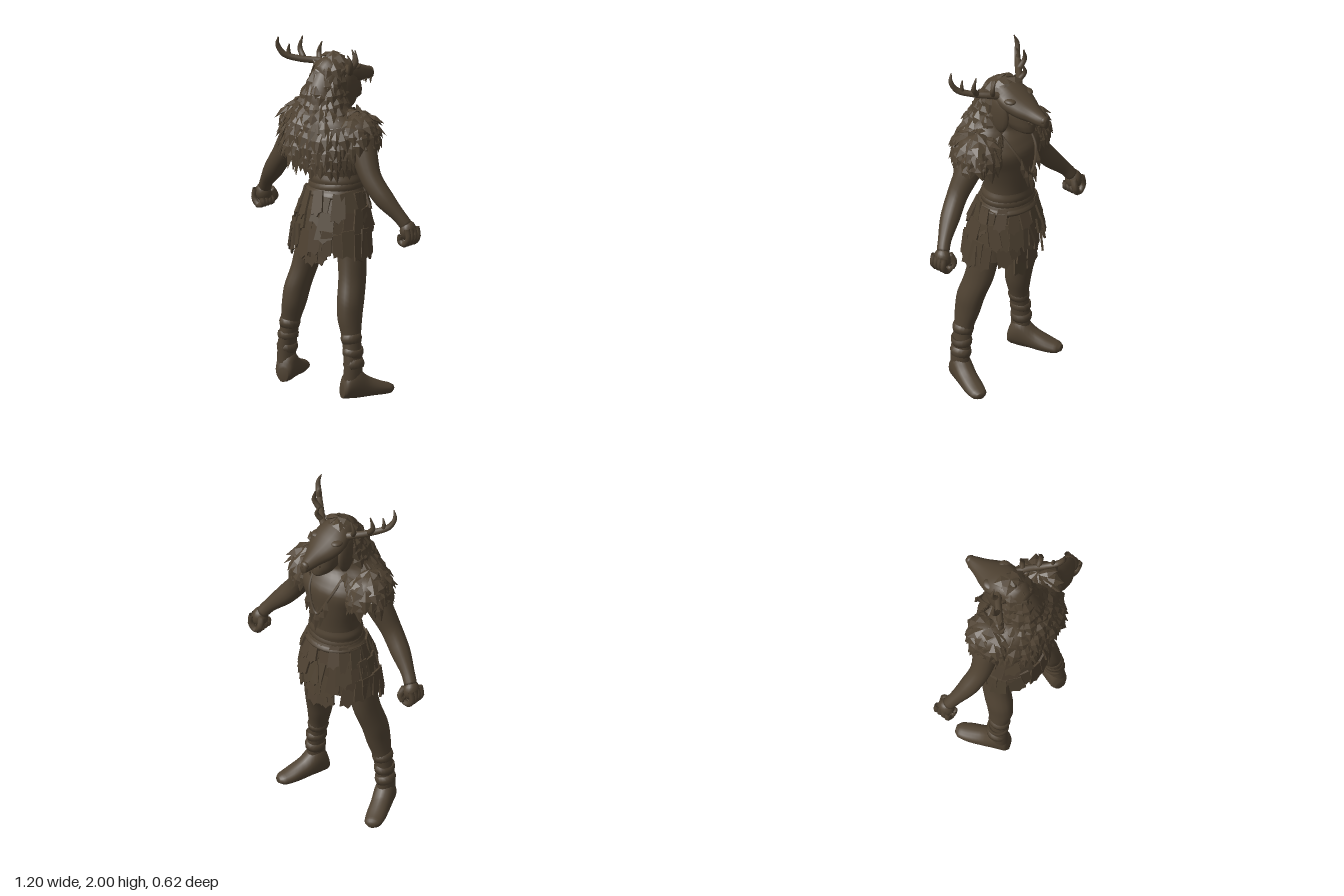
import * as THREE from 'three';
import { mergeGeometries } from 'three/addons/utils/BufferGeometryUtils.js';

let seed = 7;
const rnd = () => (seed = (seed * 16807) % 2147483647) / 2147483647;
const vary = (v, k = 0.3) => v * (1 + (rnd() - 0.5) * 2 * k);
const V = (x, y, z) => new THREE.Vector3(x, y, z);

// Smooth skin through elliptical rings [x, y, z, rx, r2].
// mode 'y': level rings listed upward; 'z': upright rings listed towards -z; 'limb': square to the path
function loft(rings, mode, { sides = 16, steps = 4, capped = true } = {}) {
  const path = new THREE.CatmullRomCurve3(rings.map(r => V(r[0], r[1], r[2])));
  const radii = new THREE.CatmullRomCurve3(rings.map(r => V(r[3], r[4] ?? r[3], 0)));
  const n = (rings.length - 1) * steps, pos = [], idx = [];
  for (let i = 0; i <= n; i++) {
    const c = path.getPoint(i / n), r = radii.getPoint(i / n);
    let A = mode === 'y' ? V(0, 0, 1) : V(0, 1, 0), B = V(1, 0, 0);
    if (mode === 'limb') {
      const T = path.getTangent(i / n);
      A = V(0, 0, 1).cross(T).normalize();
      B = T.clone().cross(A);
    }
    for (let j = 0; j < sides; j++) {
      const a = j / sides * Math.PI * 2;
      const p = c.clone().addScaledVector(A, Math.cos(a) * r.y).addScaledVector(B, Math.sin(a) * r.x);
      pos.push(p.x, p.y, p.z);
      const k = (j + 1) % sides, o = i * sides;
      if (i < n) idx.push(o + j, o + k, o + sides + j, o + k, o + sides + k, o + sides + j);
    }
  }
  if (capped) {
    const m = pos.length / 3, o = n * sides;
    pos.push(...path.getPoint(0).toArray(), ...path.getPoint(1).toArray());
    for (let j = 0; j < sides; j++) {
      const k = (j + 1) % sides;
      idx.push(m, k, j, m + 1, o + j, o + k);
    }
  }
  const g = new THREE.BufferGeometry();
  g.setAttribute('position', new THREE.Float32BufferAttribute(pos, 3));
  g.setIndex(idx);
  g.computeVertexNormals();
  return g;
}

// A ridged, pointed lock of fur hanging from its root
const lock = (w, len) => new THREE.OctahedronGeometry(1).scale(w, len * 0.6, w * 0.4).translate(0, -len * 0.4, 0);

// A strip of hide with a ragged lower end
function rag(w, len) {
  const s = new THREE.Shape([[-w * 0.8, 0], [w * 0.8, 0], [w, -len * 0.8], [w * 0.45, -len * 0.86],
    [w * 0.1, -len], [-w * 0.5, -len * 0.88], [-w, -len * 0.92]].map(p => new THREE.Vector2(...p)));
  return new THREE.ExtrudeGeometry(s, { depth: 0.012, bevelEnabled: false });
}

// Hangs pieces around an ellipse; angle 0 is the +z side
function fringe(make, { x = 0, y, z, rx, rz, n, w, len, tilt, from = -Math.PI, to = Math.PI }) {
  const out = [];
  for (let i = 0; i < n; i++) {
    const a = from + (to - from) * (i + 0.5 + (rnd() - 0.5) * 0.5) / n;
    const m = new THREE.Matrix4().makeRotationFromEuler(
      new THREE.Euler(-vary(tilt, 0.4), a, (rnd() - 0.5) * 0.4, 'YXZ'));
    m.setPosition(x + rx * Math.sin(a), y + (rnd() - 0.5) * 0.03, z + rz * Math.cos(a));
    out.push(make(vary(w, 0.25), vary(len, 0.2)).applyMatrix4(m));
  }
  return out;
}

export function createModel() {
  const root = new THREE.Group();
  const brown = new THREE.MeshStandardMaterial({ color: 0x4f4232, side: THREE.DoubleSide });
  brown.name = 'dark brown';
  const add = (parent, name, geo) => {
    const m = new THREE.Mesh(geo, brown);
    m.name = name;
    parent.add(m);
  };
  const ball = (x, y, z, a, b, c) => new THREE.SphereGeometry(1, 16, 12).scale(a, b, c).translate(x, y, z);

  // Body and face
  add(root, 'torso', loft([[0, 0.98, -0.01, 0.17, 0.13], [0, 1.12, -0.025, 0.15, 0.125], [0, 1.25, -0.03, 0.145, 0.13],
    [0, 1.4, -0.022, 0.18, 0.15], [0, 1.5, -0.015, 0.22, 0.155], [0, 1.57, -0.005, 0.18, 0.125],
    [0, 1.63, -0.01, 0.08, 0.075], [0, 1.74, -0.04, 0.068, 0.068]], 'y', { sides: 24 }));
  add(root, 'face', loft([[0, 1.632, -0.14, 0.03, 0.06], [0, 1.65, -0.125, 0.055, 0.09], [0, 1.69, -0.11, 0.072, 0.1],
    [0, 1.74, -0.095, 0.078, 0.098], [0, 1.81, -0.08, 0.07, 0.08]], 'y'));
  add(root, 'humanNose', new THREE.ConeGeometry(0.016, 0.05, 4).translate(0, 1.72, -0.2));

  // Beast-head hood
  add(root, 'beastHead', loft([[0, 1.8, 0.12, 0.05, 0.06], [0, 1.82, 0.06, 0.085, 0.085], [0, 1.822, -0.02, 0.1, 0.083],
    [0, 1.808, -0.09, 0.108, 0.068], [0, 1.782, -0.16, 0.087, 0.058], [0, 1.766, -0.22, 0.058, 0.046],
    [0, 1.75, -0.28, 0.036, 0.037], [0, 1.742, -0.315, 0.018, 0.03]], 'z', { sides: 18 }));
  add(root, 'beastNose', ball(0, 1.758, -0.296, 0.028, 0.024, 0.02));
  for (const s of [-1, 1]) {
    add(root, 'hoodCheek', ball(s * 0.088, 1.725, -0.035, 0.026, 0.11, 0.072));
    add(root, 'brow', ball(s * 0.07, 1.836, -0.1, 0.032, 0.016, 0.04));
    add(root, 'fang', new THREE.ConeGeometry(0.009, 0.04, 5).rotateX(Math.PI).translate(s * 0.025, 1.705, -0.28));
    add(root, 'backTooth', new THREE.ConeGeometry(0.008, 0.03, 5).rotateX(Math.PI).translate(s * 0.045, 1.722, -0.22));
    add(root, 'ear', new THREE.ConeGeometry(0.028, 0.075, 6).scale(1, 1, 0.5).rotateZ(-s * 0.9).translate(s * 0.1, 1.845, 0.03));
  }

  // Fur cape
  add(root, 'cape', loft([[0, 1.29, 0.06, 0.14, 0.1], [0, 1.36, 0.08, 0.19, 0.14], [0, 1.48, 0.085, 0.26, 0.17],
    [0, 1.57, 0.075, 0.24, 0.16], [0, 1.64, 0.07, 0.15, 0.14], [0, 1.74, 0.055, 0.105, 0.135],
    [0, 1.83, 0.03, 0.085, 0.1], [0, 1.905, 0.01, 0.035, 0.05]], 'y', { sides: 24 }));
  const locks = [];
  // Rows: y, z, rx, rz, count, length, tilt, half angle
  for (const [y, z, rx, rz, n, len, tilt, half] of [
    [1.922, -0.01, 0.012, 0.02, 6, 0.08, 1.0, 2.4], [1.9, 0.0, 0.04, 0.045, 9, 0.09, 0.75, 2.2],
    [1.865, 0.02, 0.066, 0.075, 12, 0.09, 0.45, 1.7], [1.81, 0.035, 0.09, 0.105, 16, 0.1, 0.35, 1.9],
    [1.75, 0.05, 0.1, 0.13, 18, 0.1, 0.35, 2.0], [1.69, 0.06, 0.118, 0.14, 19, 0.1, 0.4, 2.0],
    [1.64, 0.07, 0.148, 0.145, 21, 0.1, 0.6, 1.9], [1.585, 0.075, 0.2, 0.16, 23, 0.11, 0.45, 1.8],
    [1.53, 0.08, 0.24, 0.175, 25, 0.11, 0.4, 1.7], [1.47, 0.085, 0.245, 0.178, 26, 0.11, 0.3, 1.6],
    [1.41, 0.08, 0.215, 0.163, 24, 0.11, 0.2, 1.6], [1.355, 0.075, 0.185, 0.138, 22, 0.1, 0.15, 1.7]])
    locks.push(...fringe(lock, { y, z, rx, rz, n, w: 0.034, len, tilt, from: -half, to: half }));
  add(root, 'capeFur', mergeGeometries(locks));

  // Waist wrap: a folded cloth with an overlapping slanted band
  add(root, 'waistWrap', loft([[0, 1.1, -0.022, 0.17, 0.15], [0, 1.14, -0.024, 0.17, 0.15], [0, 1.175, -0.025, 0.157, 0.137],
    [0, 1.205, -0.025, 0.16, 0.141], [0, 1.24, -0.027, 0.148, 0.133]], 'y', { sides: 28, capped: false }));
  add(root, 'waistBand', new THREE.TorusGeometry(0.15, 0.014, 8, 32).rotateX(Math.PI / 2)
    .scale(1, 2, 0.88).rotateZ(0.1).translate(0, 1.165, -0.024));

  // Hide skirt
  add(root, 'skirt', loft([[0, 0.82, 0.015, 0.235, 0.17], [0, 1.0, 0, 0.213, 0.165], [0, 1.15, -0.02, 0.16, 0.14]],
    'y', { sides: 28, capped: false }));
  const rags = [];
  for (const [y, z, rx, rz, n, w, len, tilt] of [[1.14, -0.015, 0.168, 0.142, 17, 0.04, 0.15, 0.28],
    [1.05, -0.005, 0.2, 0.16, 20, 0.042, 0.15, 0.2], [0.94, 0.015, 0.23, 0.17, 20, 0.045, 0.15, 0.1]])
    rags.push(...fringe(rag, { y, z, rx, rz, n, w, len, tilt }));
  for (const a of [0, Math.PI])
    rags.push(...fringe(rag, { y: 0.91, z: 0.015, rx: 0.2, rz: 0.165, n: 3, w: 0.05, len: 0.17, tilt: 0.08, from: a - 0.35, to: a + 0.35 }));
  add(root, 'skirtRags', mergeGeometries(rags));

  // Necklace with tooth pendants
  add(root, 'necklace', new THREE.TubeGeometry(new THREE.CatmullRomCurve3([V(-0.1, 1.61, -0.06), V(-0.075, 1.5, -0.165),
    V(0, 1.37, -0.195), V(0.075, 1.5, -0.165), V(0.1, 1.61, -0.06)]), 32, 0.009, 6));
  for (const [x, y, len] of [[-0.065, 1.47, 0.11], [-0.033, 1.41, 0.12], [0, 1.385, 0.14], [0.033, 1.41, 0.12], [0.065, 1.47, 0.11]])
    add(root, 'pendant', lock(0.021, len).scale(1, 1, 1.8).rotateX(0.15).translate(x, y, -0.187));

  // Limbs, shoulder fur and antler, built on +x and mirrored
  for (const side of [1, -1]) {
    const half = new THREE.Group();
    half.name = side > 0 ? 'leftSide' : 'rightSide';
    half.scale.x = side;
    root.add(half);

    add(half, 'arm', loft([[0.2, 1.53, 0.02, 0.08], [0.265, 1.41, 0.035, 0.074], [0.335, 1.28, 0.052, 0.06],
      [0.415, 1.175, 0.035, 0.056], [0.5, 1.08, 0, 0.038], [0.535, 1.03, -0.02, 0.036]], 'limb'));
    add(half, 'palm', ball(0.545, 1.0, -0.025, 0.045, 0.058, 0.05));
    for (let i = 0; i < 4; i++) {
      const z = -0.064 + i * 0.026;
      add(half, 'finger', new THREE.TubeGeometry(new THREE.CatmullRomCurve3([V(0.572, 1.02, z), V(0.582, 0.965, z),
        V(0.55, 0.928, z), V(0.517, 0.945, z), V(0.525, 0.975, z)]), 10, 0.017, 7));
    }
    add(half, 'thumb', loft([[0.515, 1.02, -0.05, 0.02], [0.505, 0.975, -0.075, 0.018], [0.525, 0.94, -0.08, 0.011]],
      'limb', { sides: 8 }));

    add(half, 'leg', loft([[0.25, 0.06, 0.11, 0.047, 0.06], [0.25, 0.2, 0.106, 0.045, 0.06], [0.232, 0.33, 0.1, 0.05, 0.056],
      [0.21, 0.45, 0.09, 0.062, 0.077], [0.2, 0.55, 0.072, 0.067, 0.086], [0.178, 0.67, 0.035, 0.067, 0.089],
      [0.155, 0.8, 0.015, 0.075, 0.09], [0.11, 1.0, 0, 0.09, 0.1]], 'y'));
    // Cloth bindings on the shin
    [[0.251, 0.195, 0.2], [0.245, 0.265, -0.2], [0.232, 0.34, 0.12]].forEach(([x, y, t]) =>
      add(half, 'legWrap', new THREE.TorusGeometry(0.046, 0.011, 6, 18).rotateX(Math.PI / 2)
        .scale(1, 2.6, 1.12).rotateZ(t).translate(x, y, 0.102)));
    const foot = loft([[0, 0.055, 0.075, 0.03, 0.04], [0, 0.08, 0.055, 0.05, 0.07], [0, 0.1, 0, 0.058, 0.095],
      [0, 0.066, -0.08, 0.057, 0.062], [0, 0.046, -0.16, 0.056, 0.042], [0, 0.038, -0.215, 0.046, 0.03],
      [0, 0.038, -0.24, 0.022, 0.016]], 'z');
    const p = foot.attributes.position;
    for (let i = 0; i < p.count; i++) p.setY(i, Math.max(p.getY(i), 0.012) - 0.012);
    foot.computeVertexNormals();
    add(half, 'foot', foot.rotateY(-0.36).translate(0.25, 0, 0.1));

    // Shoulder fur
    add(half, 'shoulderPelt', ball(0.205, 1.53, 0.02, 0.105, 0.088, 0.125));
    const fur = [];
    for (const [y, r, n, len, tilt] of [[1.622, 0.015, 6, 0.09, 1.2], [1.608, 0.05, 11, 0.09, 0.95], [1.58, 0.08, 15, 0.09, 0.6],
      [1.54, 0.098, 18, 0.1, 0.35], [1.495, 0.102, 18, 0.1, 0.2]])
      fur.push(...fringe(lock, { x: 0.205, y, z: 0.02, rx: r, rz: r * 1.2, n, w: 0.034, len, tilt }));
    // Pelt edge running down the chest
    for (let i = 0; i < 6; i++)
      fur.push(lock(0.032, 0.09).rotateX(0.2).rotateZ((rnd() - 0.5) * 0.5).translate(0.115 + i * 0.014, 1.62 - i * 0.022, -0.075 - i * 0.009));
    add(half, 'shoulderFur', mergeGeometries(fur));

    const antler = new THREE.Group();
    antler.name = 'antler';
    half.add(antler);
    for (const [name, pts] of [
      ['beam', [[0.06, 1.84, -0.04, 0.024], [0.12, 1.855, 0.0, 0.021], [0.19, 1.868, 0.07, 0.019], [0.25, 1.895, 0.13, 0.017],
        [0.276, 1.95, 0.155, 0.013], [0.262, 2.0, 0.165, 0.003]]],
      ['tine', [[0.11, 1.855, -0.01, 0.016], [0.134, 1.9, -0.03, 0.013], [0.114, 1.96, -0.032, 0.003]]],
      ['tine', [[0.175, 1.868, 0.05, 0.017], [0.212, 1.92, 0.042, 0.014], [0.198, 1.99, 0.035, 0.003]]],
      ['tine', [[0.23, 1.882, 0.11, 0.013], [0.235, 1.92, 0.11, 0.01], [0.225, 1.955, 0.115, 0.003]]]])
      add(antler, name, loft(pts, 'limb', { sides: 8 }));
  }
  return root;
}
